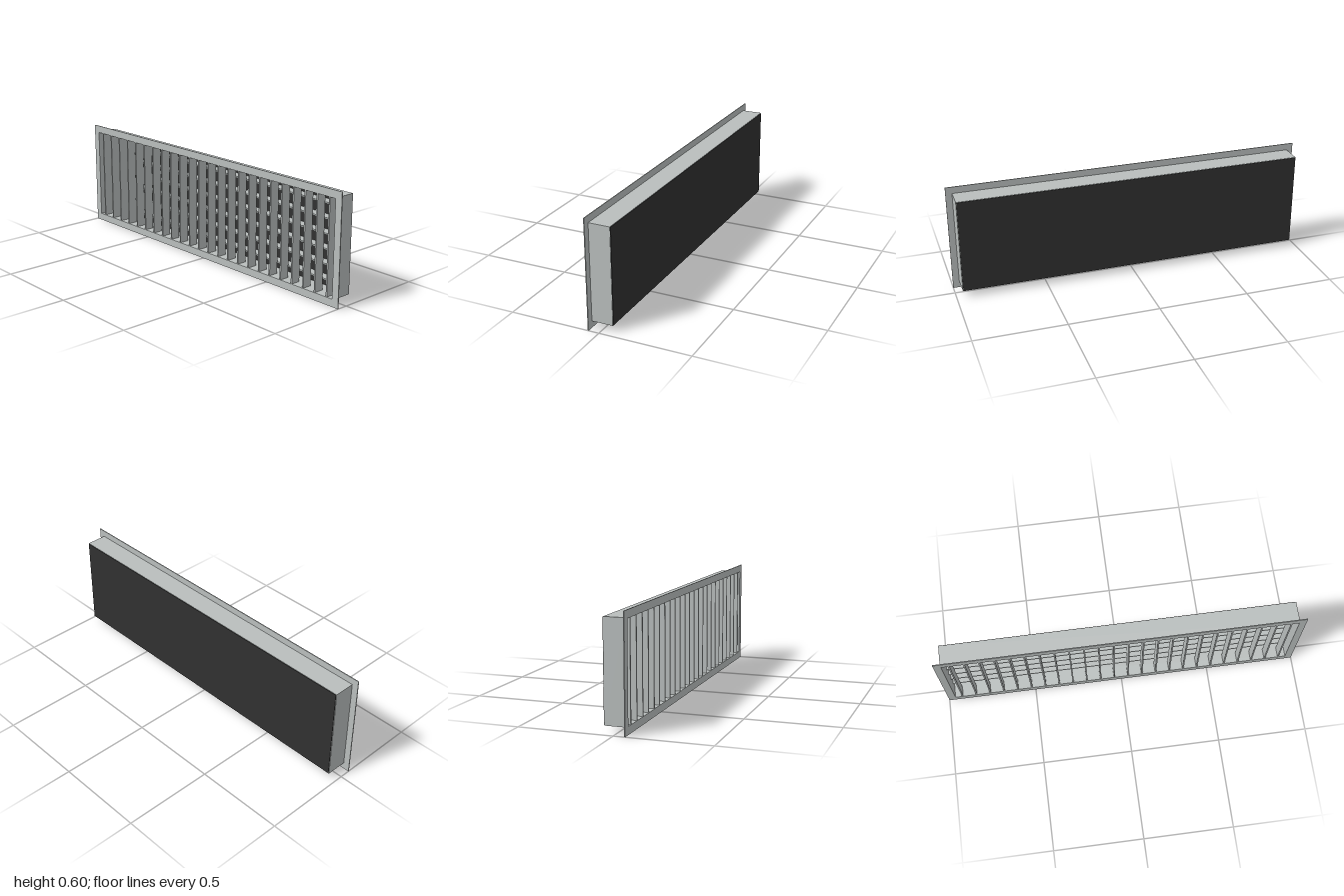
import * as THREE from 'three';

const CY = 0.3; // mid height of the grille

function box(name, w, h, d, x, y, z, material) {
  const mesh = new THREE.Mesh(new THREE.BoxGeometry(w, h, d), material);
  mesh.name = name;
  mesh.position.set(x, y, z);
  return mesh;
}

// Rectangular ring with a rectangular opening, extruded from z0 to z1
function frame(name, w, h, innerW, innerH, z0, z1, material) {
  const corners = (a, b) => [[-a, -b], [a, -b], [a, b], [-a, b]].map(([x, y]) => new THREE.Vector2(x / 2, y / 2));
  const shape = new THREE.Shape(corners(w, h));
  shape.holes.push(new THREE.Path(corners(innerW, innerH).reverse()));
  const geometry = new THREE.ExtrudeGeometry(shape, { depth: z1 - z0, bevelEnabled: false });
  const mesh = new THREE.Mesh(geometry, material);
  mesh.name = name;
  mesh.position.set(0, CY, z0);
  return mesh;
}

export function createModel() {
  const metal = new THREE.MeshStandardMaterial({ color: 0xb9bebd });
  metal.name = 'galvanised grey';
  const dark = new THREE.MeshStandardMaterial({ color: 0x303030 });
  dark.name = 'dark backing';

  const model = new THREE.Group();
  model.name = 'ventGrille';

  // Front flange and the collar behind it
  model.add(frame('flange', 2, 0.6, 1.92, 0.518, 0.057, 0.062, metal));
  model.add(frame('collar', 1.93, 0.526, 1.92, 0.518, -0.059, 0.057, metal));

  // Dark panel closing the back
  model.add(box('backPanel', 1.924, 0.522, 0.003, 0, CY, -0.0605, dark));

  // Front row of upright blades
  const uprights = new THREE.Group();
  uprights.name = 'verticalBlades';
  for (let i = 0; i < 24; i++) {
    uprights.add(box('verticalBlade', 0.008, 0.52, 0.055, -0.92 + i * 0.08, CY, 0.0325, metal));
  }
  model.add(uprights);

  // Rear row of level blades
  const levels = new THREE.Group();
  levels.name = 'horizontalBlades';
  for (let i = 0; i < 6; i++) {
    levels.add(box('horizontalBlade', 1.922, 0.008, 0.053, 0, 0.1 + i * 0.08, -0.0275, metal));
  }
  model.add(levels);

  return model;
}
